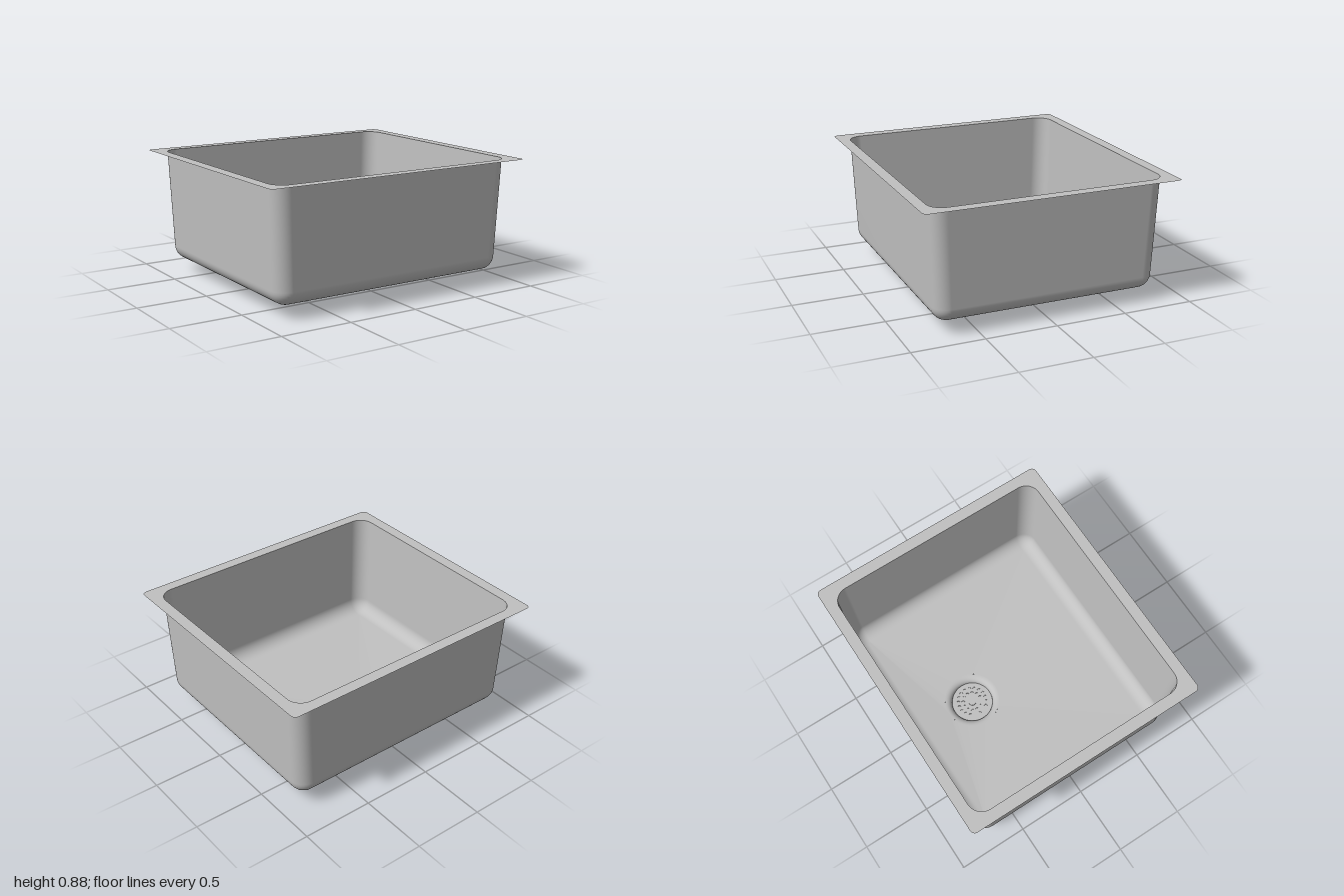
import * as THREE from 'three';
import { mergeVertices } from 'three/addons/utils/BufferGeometryUtils.js';

const STEPS = 10;      // points per rounded corner, minus one
const RIM_Y = 0.875;
const DRAIN_Z = -0.29;

// Closed ring of points: a rounded rectangle, or a circle when hx = hz = r
function ring(hx, hz, r, y, cz = 0) {
  const points = [];
  const signs = [[1, 1], [-1, 1], [-1, -1], [1, -1]];
  signs.forEach(([sx, sz], corner) => {
    for (let i = 0; i <= STEPS; i++) {
      const a = (corner + i / STEPS) * Math.PI / 2;
      points.push([sx * (hx - r) + r * Math.cos(a), y, cz + sz * (hz - r) + r * Math.sin(a)]);
    }
  });
  return points;
}

// Smooth skin through a list of rings, ordered from top to bottom
function loft(rings) {
  const n = rings[0].length;
  const index = [];
  for (let k = 0; k < rings.length - 1; k++) {
    for (let i = 0; i < n; i++) {
      const a = k * n + i, b = k * n + (i + 1) % n;
      index.push(a, b, a + n, b, b + n, a + n);
    }
  }
  const geometry = new THREE.BufferGeometry();
  geometry.setAttribute('position', new THREE.Float32BufferAttribute(rings.flat(2), 3));
  geometry.setIndex(index);
  const merged = mergeVertices(geometry, 1e-5);
  merged.computeVertexNormals();
  return merged;
}

const outline = (hx, hz, r) => ring(hx, hz, r, 0).map(([x, , z]) => new THREE.Vector2(x, z));

export function createModel() {
  const steel = new THREE.MeshStandardMaterial({ color: 0xc0c0c0, side: THREE.DoubleSide });
  steel.name = 'brushed steel';
  const model = new THREE.Group();
  model.name = 'sink';
  const add = (name, geometry, x = 0, y = 0, z = 0) => {
    const mesh = new THREE.Mesh(geometry, steel);
    mesh.name = name;
    mesh.position.set(x, y, z);
    model.add(mesh);
    return mesh;
  };

  // Flat rim with the basin opening
  const rim = new THREE.Shape(outline(1, 0.895, 0.035));
  rim.holes.push(new THREE.Path(outline(0.918, 0.815, 0.105)));
  add('rim', new THREE.ShapeGeometry(rim).rotateX(-Math.PI / 2), 0, RIM_Y, 0);

  // Tapered walls, rounded bottom edge and floor falling to the drain
  const rings = [ring(0.918, 0.815, 0.105, RIM_Y)];
  const fillet = 0.1;
  for (let i = 0; i <= 10; i++) {
    const a = i / 10 * Math.PI / 2;
    const inset = fillet * (1 - Math.cos(a));
    rings.push(ring(0.893 - inset, 0.79 - inset, 0.105 - inset, 0.187 - fillet * Math.sin(a)));
  }
  rings.push(ring(0.2, 0.2, 0.2, 0.06, DRAIN_Z));
  add('basin', loft(rings));

  // Drain cup: rounded lip and short neck
  const profile = [new THREE.Vector2(0.15, 0)];
  for (let i = 0; i <= 8; i++) {
    const a = i / 8 * Math.PI / 2;
    profile.push(new THREE.Vector2(0.2 - 0.05 * Math.cos(a), 0.015 + 0.045 * Math.sin(a)));
  }
  add('drainCup', new THREE.LatheGeometry(profile, 48), 0, 0, DRAIN_Z);
  add('drainBase', new THREE.CircleGeometry(0.15, 48).rotateX(Math.PI / 2), 0, 0, DRAIN_Z);

  // Perforated strainer plate with two circles of holes
  const plate = new THREE.Shape().absarc(0, 0, 0.149, 0, Math.PI * 2);
  for (const [count, radius] of [[18, 0.104], [12, 0.068]]) {
    for (let i = 0; i < count; i++) {
      const a = i / count * Math.PI * 2;
      plate.holes.push(new THREE.Path().absarc(radius * Math.cos(a), radius * Math.sin(a), 0.012, 0, Math.PI * 2, true));
    }
  }
  const strainer = new THREE.ExtrudeGeometry(plate, { depth: 0.006, bevelEnabled: false, curveSegments: 24 });
  add('strainer', strainer.rotateX(-Math.PI / 2), 0, 0.004, DRAIN_Z);
  add('strainerKnob', new THREE.CylinderGeometry(0.028, 0.028, 0.01, 24), 0, 0.012, DRAIN_Z);

  return model;
}
